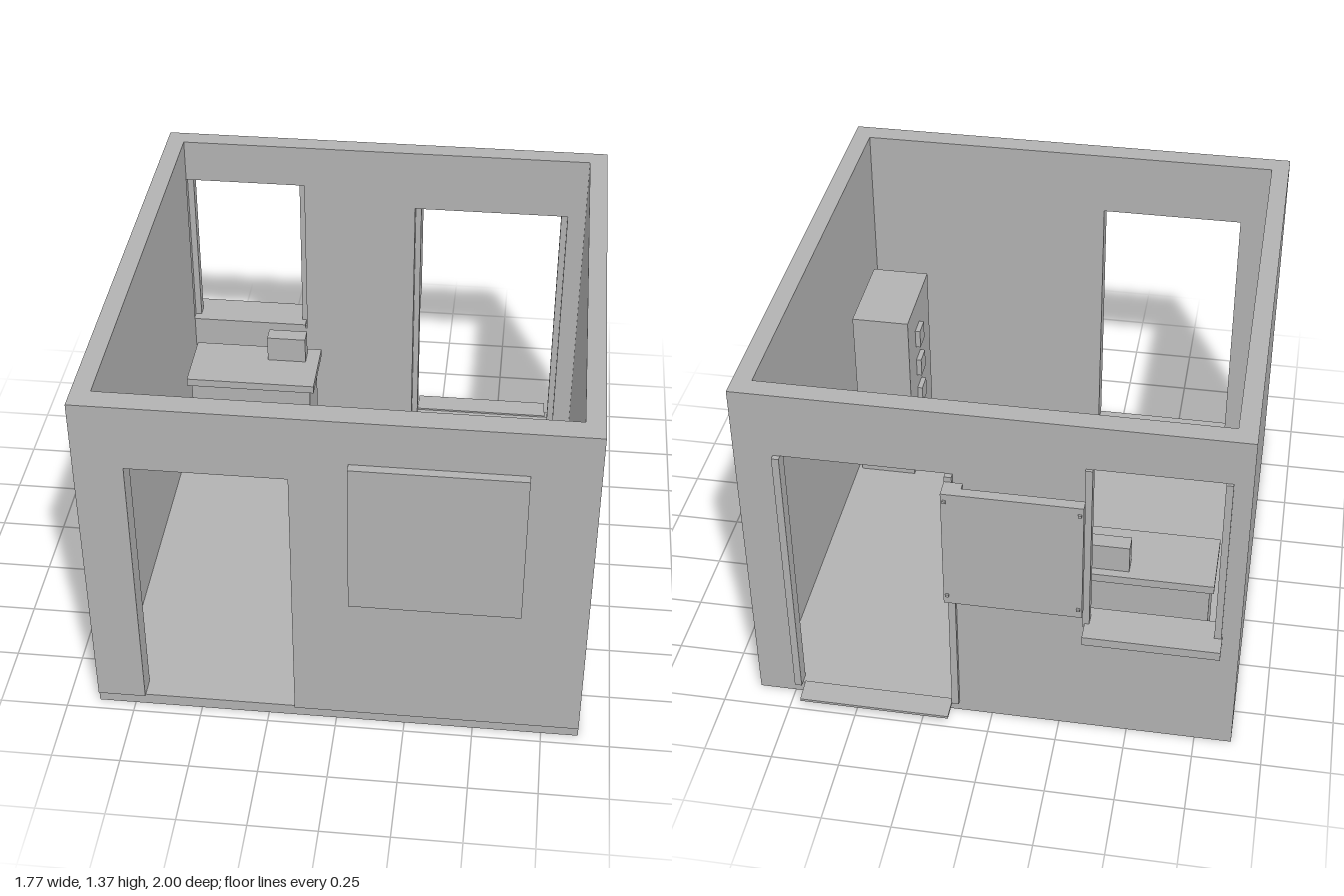
import * as THREE from 'three';

export function createModel() {
  const group = new THREE.Group();
  const grey = new THREE.MeshStandardMaterial({ color: 0xb2b2b2 });
  grey.name = 'plain grey';

  const add = (name, geometry) => {
    const mesh = new THREE.Mesh(geometry, grey);
    mesh.name = name;
    group.add(mesh);
    return mesh;
  };
  // Box given by its limits on each axis
  const box = (name, x0, x1, y0, y1, z0, z1) =>
    add(name, new THREE.BoxGeometry(x1 - x0, y1 - y0, z1 - z0))
      .position.set((x0 + x1) / 2, (y0 + y1) / 2, (z0 + z1) / 2);

  const W = 0.885, IN = 0.817, FLOOR = 0.045, TOP = 1.373;
  const BACK = -0.905, BACK_IN = -0.83, FRONT = 0.967, FRONT_IN = 0.883;

  // Upright wall with a doorway notch and an optional window hole
  const wall = (name, z0, z1, door, win) => {
    const s = new THREE.Shape();
    s.moveTo(-W, FLOOR);
    s.lineTo(door[0], FLOOR);
    s.lineTo(door[0], door[2]);
    s.lineTo(door[1], door[2]);
    s.lineTo(door[1], FLOOR);
    s.lineTo(W, FLOOR);
    s.lineTo(W, TOP);
    s.lineTo(-W, TOP);
    s.closePath();
    if (win) {
      const [x0, x1, y0, y1] = win;
      const hole = new THREE.Path();
      hole.moveTo(x0, y0);
      hole.lineTo(x0, y1);
      hole.lineTo(x1, y1);
      hole.lineTo(x1, y0);
      hole.closePath();
      s.holes.push(hole);
    }
    add(name, new THREE.ExtrudeGeometry(s, { depth: z1 - z0, bevelEnabled: false })).position.z = z0;
  };

  // Room shell
  box('floor', -W, W, 0, FLOOR, BACK, 0.957);
  wall('frontWall', FRONT_IN, FRONT, [-0.71, -0.153, 1.12]);
  wall('backWall', BACK, BACK_IN, [0.125, 0.745, 1.12], [-0.82, -0.33, 0.5, 1.2]);
  for (const s of [-1, 1]) {
    box(s < 0 ? 'rightWall' : 'leftWall', Math.min(s * W, s * IN), Math.max(s * W, s * IN),
      FLOOR, TOP, BACK_IN, FRONT_IN);
  }

  // Front wall board
  box('frontBoard', 0.05, 0.652, 0.598, 1.2, FRONT, 1.0);

  // Back window and back door jambs, sill and step
  for (const x of [-0.82, -0.355]) box('windowJamb', x, x + 0.025, 0.5, 1.2, -0.87, -0.916);
  for (const x of [0.122, 0.72]) box('doorJamb', x, x + 0.026, FLOOR, 1.12, -0.925, -0.87);
  box('windowSill', -0.823, -0.338, 0.48, 0.515, -0.988, BACK_IN);
  const step = new THREE.Shape();
  step.moveTo(0.148, 0.905);
  step.lineTo(0.71, 0.905);
  step.lineTo(0.705, 1.0);
  step.lineTo(0.148, 1.0);
  step.closePath();
  const stepGeo = new THREE.ExtrudeGeometry(step, { depth: 0.01, bevelEnabled: false });
  stepGeo.rotateX(-Math.PI / 2);
  add('doorStep', stepGeo).position.y = 0.042;

  // Back board standing off the wall on a bracket, with corner studs
  box('backBoard', -0.338, 0.148, 0.612, 1.1, -0.992, -0.953);
  box('boardBracket', 0.083, 0.148, 0.612, 1.1, -0.953, -0.925);
  for (const x of [-0.325, 0.135]) {
    for (const y of [0.65, 1.07]) box('boardStud', x - 0.006, x + 0.006, y - 0.005, y + 0.005, -1.0, -0.992);
  }

  // Counter with a small box on top
  box('counterBody', -0.757, -0.265, FLOOR, 0.482, -0.635, -0.403);
  box('counterTop', -0.773, -0.247, 0.482, 0.515, -0.653, -0.385);
  box('counterBox', -0.46, -0.302, 0.515, 0.625, -0.62, -0.557);

  // Drawer cabinet with four handles
  box('cabinet', 0.572, 0.8, FLOOR, 0.815, 0.383, 0.765);
  for (let i = 0; i < 4; i++) {
    const y = 0.19 + i * 0.143;
    box('drawerHandle', 0.552, 0.572, y, y + 0.078, 0.507, 0.583);
  }

  // Keep every box facing outwards
  group.traverse((m) => {
    if (m.isMesh && m.geometry.type === 'BoxGeometry') {
      const p = m.geometry.parameters;
      if (p.depth < 0) m.geometry = new THREE.BoxGeometry(p.width, p.height, -p.depth);
    }
  });
  return group;
}
